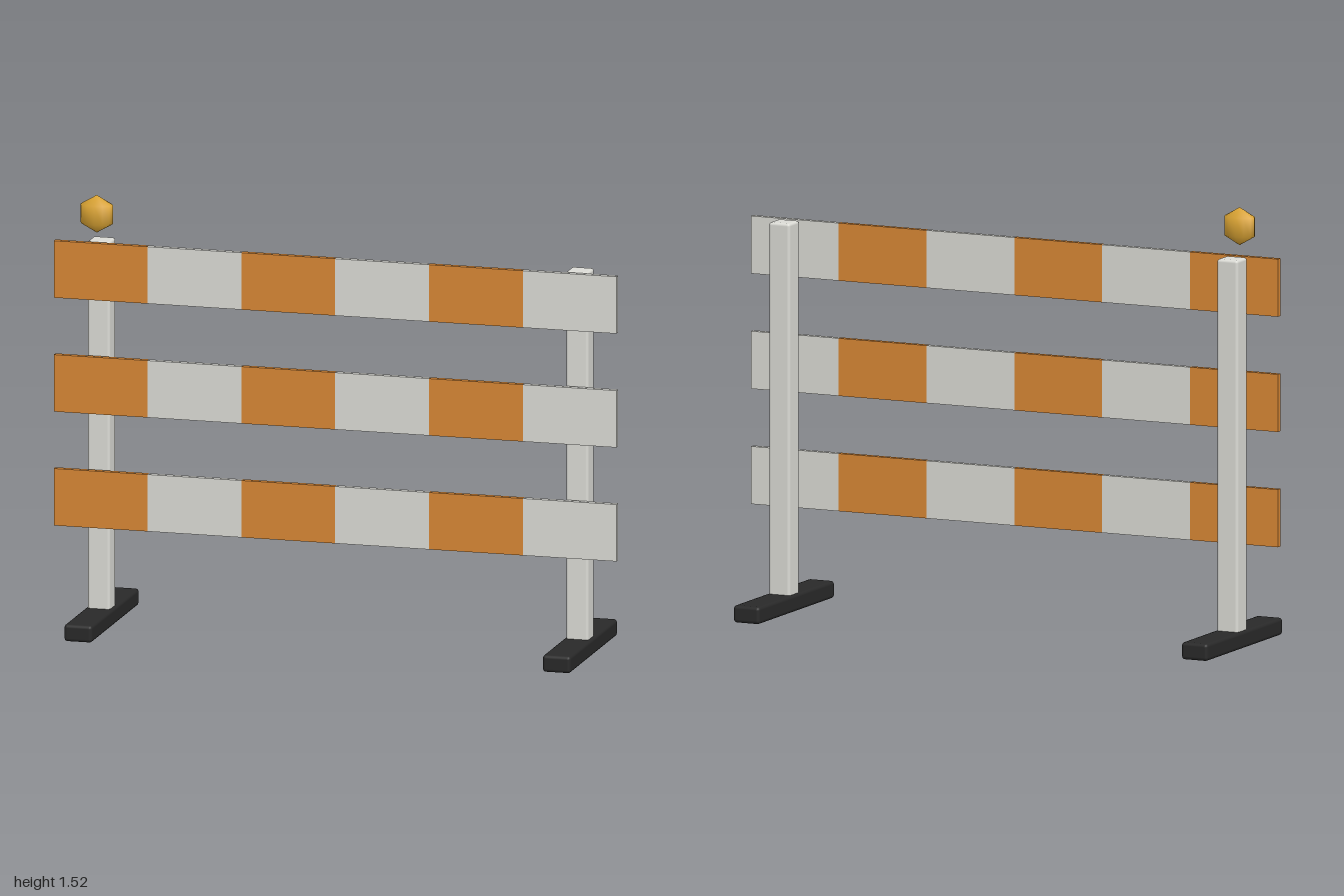
import * as THREE from 'three';
import { RoundedBoxGeometry } from 'three/addons/geometries/RoundedBoxGeometry.js';

function material(name, color) {
  const m = new THREE.MeshStandardMaterial({ color });
  m.name = name;
  return m;
}

export function createModel() {
  const model = new THREE.Group();
  model.name = 'roadBarricade';

  const white = material('offWhite', 0xdcdcd6);
  const orange = material('safetyOrange', 0xd98835);
  const rubber = material('blackRubber', 0x292929);
  const amber = material('amberLens', 0xe0a835);

  function add(parent, name, geometry, mat, x, y, z) {
    const mesh = new THREE.Mesh(geometry, mat);
    mesh.name = name;
    mesh.position.set(x, y, z);
    parent.add(mesh);
    return mesh;
  }

  // Upright posts standing in rubber feet
  const postGeometry = new RoundedBoxGeometry(0.08, 1.345, 0.08, 2, 0.01);
  const footGeometry = new RoundedBoxGeometry(0.1, 0.06, 0.6, 2, 0.012);
  for (const [side, x] of [['right', -0.85], ['left', 0.85]]) {
    add(model, side + 'Post', postGeometry, white, x, 0.6775, 0);
    add(model, side + 'Foot', footGeometry, rubber, x, 0.03, 0);
  }

  // Three boards, each made of six alternating colour blocks
  const blockWidth = 2 / 6;
  const blockGeometry = new THREE.BoxGeometry(blockWidth, 0.2, 0.02);
  ['lower', 'middle', 'upper'].forEach((level, row) => {
    const board = new THREE.Group();
    board.name = level + 'Board';
    board.position.set(0, 0.45 + row * 0.4, 0.06);
    for (let i = 0; i < 6; i++) {
      const isOrange = i % 2 === 0;
      add(board, isOrange ? 'orangeStripe' : 'whiteStripe', blockGeometry,
        isOrange ? orange : white, -1 + (i + 0.5) * blockWidth, 0, 0);
    }
    model.add(board);
  });

  // Flattened warning lamp above the right end
  const lamp = add(model, 'warningLamp', new THREE.SphereGeometry(0.066, 12, 3), amber, -0.85, 1.452, 0.06);
  lamp.scale.z = 0.6;

  return model;
}
